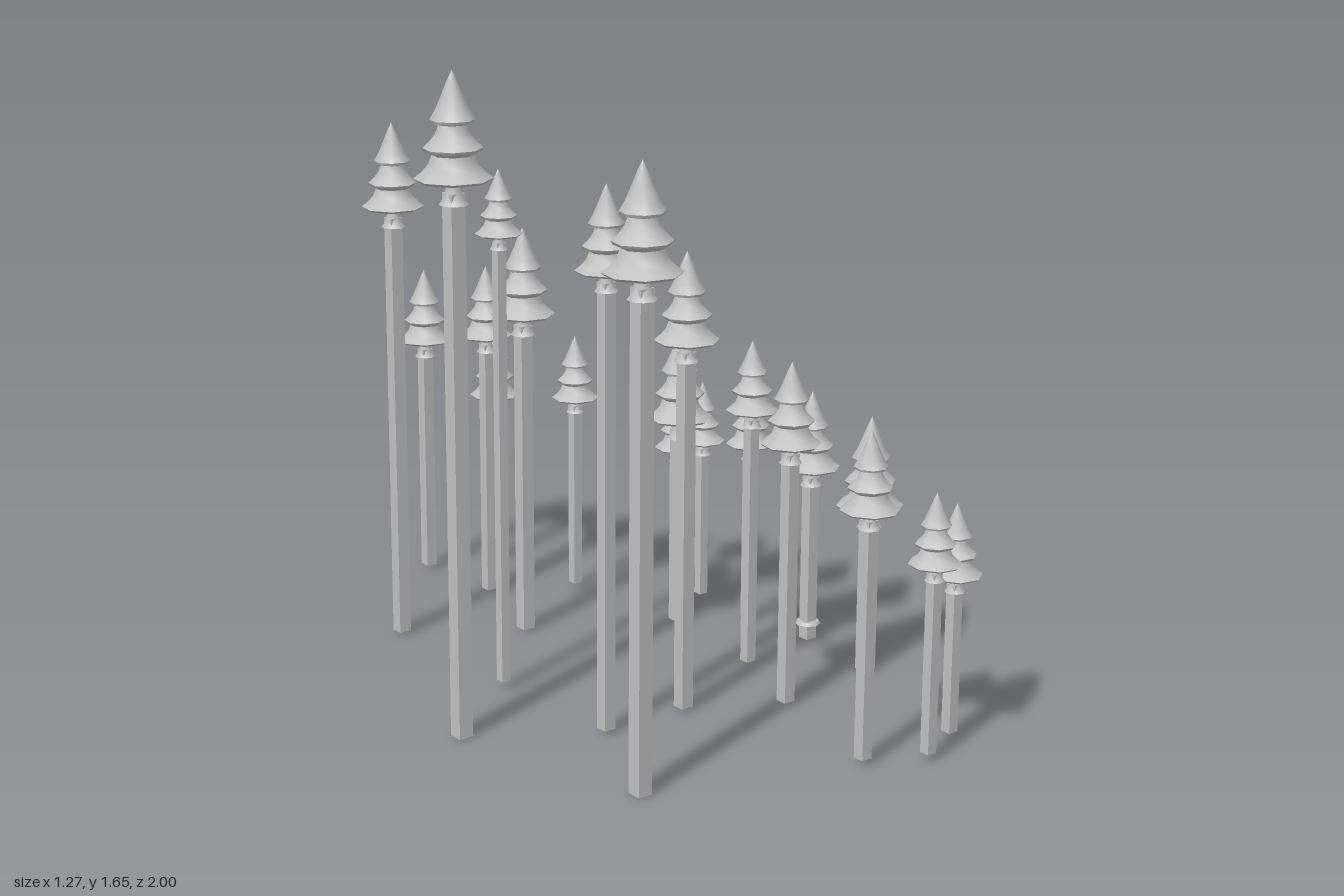
import * as THREE from 'three';
import { toCreasedNormals } from 'three/addons/utils/BufferGeometryUtils.js';

// One row per tree: x, z, tip height, crown radius
const TREES = [
  [0.06, -0.93, 0.895, 0.075],
  [0.265, -0.88, 0.70, 0.072],
  [0.08, -0.65, 0.955, 0.072],
  [-0.285, -0.54, 1.41, 0.082],
  [0.30, -0.535, 0.745, 0.065],
  [0.0, -0.36, 1.125, 0.086],
  [0.555, -0.39, 0.59, 0.066],
  [0.525, -0.245, 0.64, 0.062],
  [0.375, -0.16, 0.825, 0.088],
  [-0.29, -0.05, 1.365, 0.06],
  [0.525, -0.04, 0.695, 0.067],
  [-0.545, 0.135, 1.655, 0.094],
  [0.555, 0.175, 0.705, 0.077],
  [0.31, 0.215, 0.89, 0.068],
  [-0.25, 0.335, 1.385, 0.077],
  [-0.005, 0.335, 1.19, 0.082],
  [0.54, 0.42, 0.695, 0.088],
  [0.22, 0.47, 0.905, 0.077],
  [-0.40, 0.665, 1.51, 0.094],
  [0.13, 0.855, 0.84, 0.072],
  [0.27, 0.935, 0.68, 0.065],
  [0.405, 0.87, 0.61, 0.067],
];
const CROWN_HEIGHT = 2.77; // in crown radii

// Eight-sided turned shape with smooth slopes and sharp tier edges
function turned(points) {
  const profile = points.map(([r, y]) => new THREE.Vector2(r, y));
  return toCreasedNormals(new THREE.LatheGeometry(profile, 8), 0.85);
}

export function createModel() {
  const grey = new THREE.MeshStandardMaterial({ color: 0xbfbfbf });
  grey.name = 'plain grey';

  // Three stacked tiers, for a crown radius of 1
  const crownGeometry = turned([
    [0, 0.04], [0.92, 0], [1, 0.07], [0.8, 0.22], [0.62, 0.42], [0.53, 0.66],
    [0.72, 0.75], [0.76, 0.83], [0.56, 1.02], [0.43, 1.2], [0.35, 1.42],
    [0.54, 1.47], [0.57, 1.54], [0.42, 1.8], [0.27, 2.15], [0.13, 2.5], [0, CROWN_HEIGHT],
  ]);
  // Small flared collar under the crown
  const collarGeometry = turned([
    [0, -0.58], [0.38, -0.6], [0.27, -0.45], [0.2, -0.2], [0.17, 0.04],
  ]);
  const trunkGeometry = new THREE.BoxGeometry(1, 1, 1);

  const forest = new THREE.Group();
  forest.name = 'forest';
  const add = (parent, geometry, name) => {
    const mesh = new THREE.Mesh(geometry, grey);
    mesh.name = name;
    parent.add(mesh);
    return mesh;
  };

  TREES.forEach(([x, z, top, r], i) => {
    const tree = new THREE.Group();
    tree.name = `tree${i + 1}`;
    tree.position.set(x, 0, z);
    const base = top - CROWN_HEIGHT * r;

    for (const [geometry, name] of [[crownGeometry, 'crown'], [collarGeometry, 'collar']]) {
      const part = add(tree, geometry, name);
      part.scale.setScalar(r);
      part.position.y = base;
      part.rotation.y = 0.2;
    }

    // Square trunk, smaller trees starting slightly higher
    const foot = Math.max(0, (0.094 - r) * 0.7);
    const height = base - 0.3 * r - foot;
    const trunk = add(tree, trunkGeometry, 'trunk');
    trunk.scale.set(0.42 * r, height, 0.42 * r);
    trunk.position.y = foot + height / 2;
    forest.add(tree);
  });

  // Thin ring low on one trunk
  const ring = add(forest, new THREE.CylinderGeometry(0.03, 0.035, 0.008, 8), 'trunkRing');
  ring.position.set(0.555, 0.058, 0.175);

  return forest;
}
